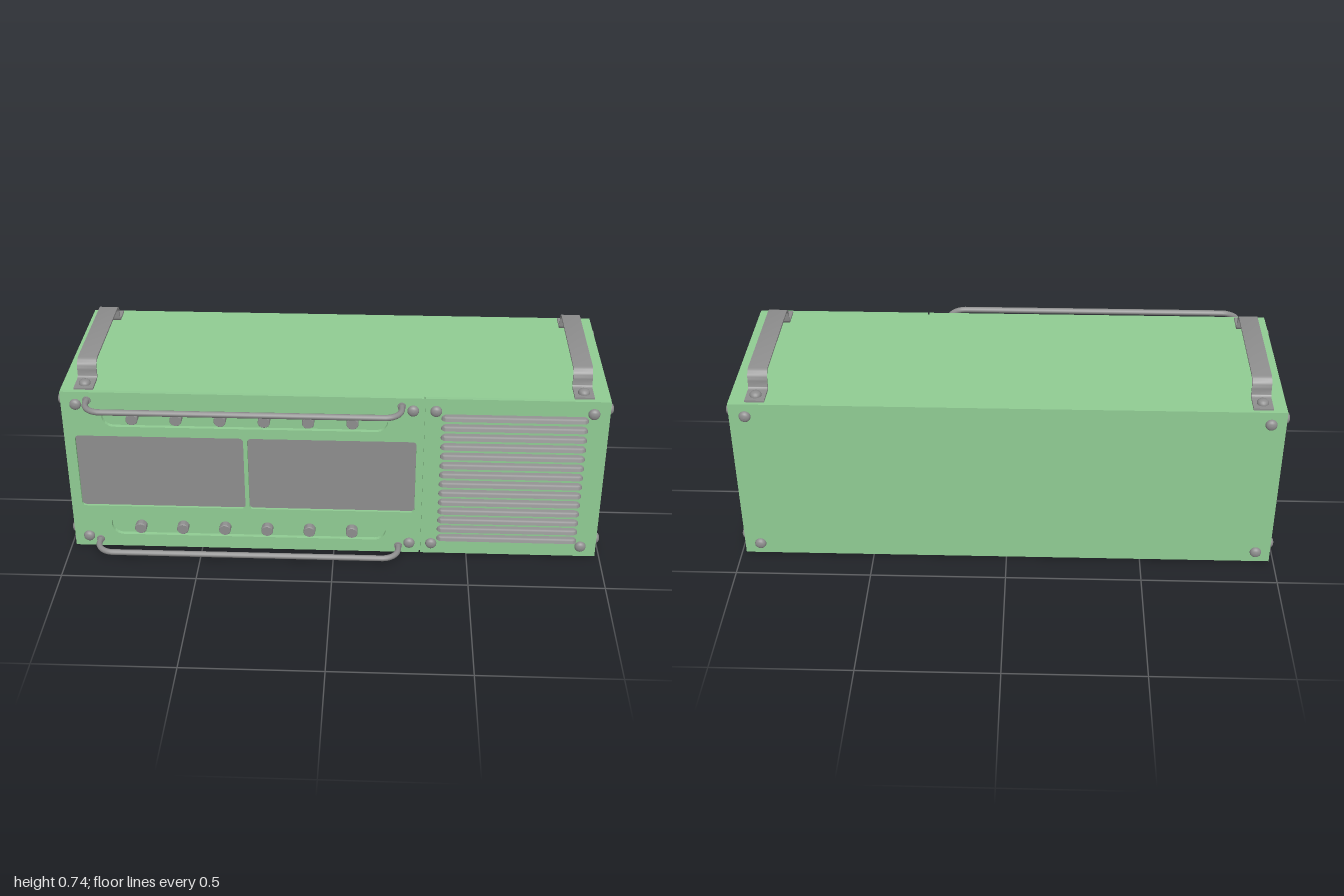
import * as THREE from 'three';
import { toCreasedNormals } from 'three/addons/utils/BufferGeometryUtils.js';

const green = new THREE.MeshStandardMaterial({ color: 0x90cc93 });
const grey = new THREE.MeshStandardMaterial({ color: 0x8e8e8e });

const FRONT = 0.3, BACK = -0.377, SIDE = 0.984, TOP = 0.666, PANEL = 0.015;

function add(parent, name, geometry, material, x = 0, y = 0, z = 0) {
  const mesh = new THREE.Mesh(geometry, material);
  mesh.name = name;
  mesh.position.set(x, y, z);
  parent.add(mesh);
  return mesh;
}

// Rounded rectangle drawn on a Shape or Path
function roundRect(path, x0, y0, x1, y1, r) {
  path.absarc(x1 - r, y0 + r, r, -Math.PI / 2, 0);
  path.absarc(x1 - r, y1 - r, r, 0, Math.PI / 2);
  path.absarc(x0 + r, y1 - r, r, Math.PI / 2, Math.PI);
  path.absarc(x0 + r, y0 + r, r, Math.PI, Math.PI * 1.5);
  path.closePath();
  return path;
}

// Louvre hood: a quarter-round bar with rounded ends and a flat underside, facing +z
function louvreGeometry(length, r, depth) {
  const cols = 9;
  const g = new THREE.SphereGeometry(r, cols, 12, 0, Math.PI, 0.01, Math.PI - 0.02);
  const p = g.attributes.position;
  for (let i = 0; i < p.count; i++) {
    const end = i % (cols + 1) < (cols + 1) / 2 ? -1 : 1;
    p.setXYZ(i, p.getX(i) + end * (length / 2 - r), Math.max(0, p.getY(i)), p.getZ(i) * depth / r);
  }
  return toCreasedNormals(g, 0.7);
}

function louvreBank(name, length, depth) {
  const bank = new THREE.Group();
  bank.name = name;
  const g = louvreGeometry(length, 0.02, depth);
  for (let i = 0; i < 14; i++) add(bank, 'louvre', g, grey, 0, 0.067 + i * 0.0398, 0);
  return bank;
}

// Domed screw head, facing +y
const screwGeometry = new THREE.LatheGeometry(
  [[0.021, 0], [0.021, 0.004], [0.0195, 0.009], [0.016, 0.013], [0.009, 0.0162], [0, 0.017]]
    .map(([x, y]) => new THREE.Vector2(x, y)), 20);

// Knob, facing +z from the bottom of its tray
const knobGeometry = toCreasedNormals(new THREE.LatheGeometry(
  [[0.014, 0], [0.014, 0.012], [0.022, 0.012], [0.022, 0.037], [0.02, 0.04], [0, 0.04]]
    .map(([x, y]) => new THREE.Vector2(x, y)), 24).rotateX(Math.PI / 2), 0.6);

// Open polyline with rounded inner corners, as a curve path
function roundedPath(points, radius) {
  const path = new THREE.CurvePath();
  let from = points[0];
  for (let i = 1; i < points.length - 1; i++) {
    const c = points[i];
    const a = c.clone().add(points[i - 1].clone().sub(c).setLength(radius[i - 1]));
    const b = c.clone().add(points[i + 1].clone().sub(c).setLength(radius[i - 1]));
    path.add(new THREE.LineCurve3(from, a));
    const k = 0.45; // handles chosen to approximate a circular arc
    path.add(new THREE.CubicBezierCurve3(a, a.clone().lerp(c, 1 - k), b.clone().lerp(c, 1 - k), b));
    from = b;
  }
  path.add(new THREE.LineCurve3(from, points[points.length - 1]));
  return path;
}

// Points along the path: only the ends of lines, several along bends
function pathPoints(path) {
  const out = [];
  path.curves.forEach((c) => {
    const pts = c.getPoints(c.isLineCurve3 ? 1 : 8);
    out.push(...(out.length ? pts.slice(1) : pts));
  });
  return out;
}

function topHandle(x) {
  const group = new THREE.Group();
  group.name = 'topHandle';
  const t = 0.0035, w = 0.07;
  const line = [[0.283, 0.67], [0.197, 0.67], [0.197, 0.738], [-0.277, 0.738], [-0.277, 0.67], [-0.363, 0.67]]
    .map(([z, y]) => new THREE.Vector3(z, y, 0));
  const pts = pathPoints(roundedPath(line, [0.015, 0.035, 0.035, 0.015]));
  // Offset the centre line to both sides for a strap of constant thickness
  const offset = (s) => pts.map((p, i) => {
    const d = pts[Math.min(i + 1, pts.length - 1)].clone().sub(pts[Math.max(i - 1, 0)]).normalize();
    return new THREE.Vector2(p.x - d.y * s, p.y + d.x * s);
  });
  const shape = new THREE.Shape([...offset(t), ...offset(-t).reverse()]);
  const g = new THREE.ExtrudeGeometry(shape, { depth: w, bevelEnabled: false });
  const strap = add(group, 'strap', toCreasedNormals(g, 0.5), grey, x - w / 2, 0, 0);
  strap.rotation.y = -Math.PI / 2;
  strap.position.x = x + w / 2;
  for (const z of [0.25, -0.328]) add(group, 'handleScrew', screwGeometry, grey, x, 0.674, z);
  return group;
}

function frontHandle(y) {
  const group = new THREE.Group();
  group.name = 'frontHandle';
  const x0 = -0.888, x1 = 0.243, z = 0.387;
  const line = [[x0, FRONT - 0.01], [x0, z], [x1, z], [x1, FRONT - 0.01]]
    .map(([px, pz]) => new THREE.Vector3(px, y, pz));
  add(group, 'bar', new THREE.TubeGeometry(roundedPath(line, [0.06, 0.06]), 90, 0.011, 12), grey);
  for (const x of [x0, x1]) {
    add(group, 'collar', new THREE.CylinderGeometry(0.015, 0.015, 0.006, 16).rotateX(Math.PI / 2),
      grey, x, y, FRONT + 0.003);
  }
  return group;
}

export function createModel() {
  const model = new THREE.Group();
  model.name = 'equipmentCase';

  // Case body behind the front panels
  const depth = FRONT - PANEL - BACK;
  add(model, 'caseBody', new THREE.BoxGeometry(SIDE * 2, TOP, depth), green, 0, TOP / 2, BACK + depth / 2);

  // Front panels with a narrow seam between them
  const screens = [[-0.945, 0.18, -0.33, 0.485], [-0.315, 0.18, 0.3, 0.485]];
  const trays = [0.0965, 0.568];
  const control = roundRect(new THREE.Shape(), -SIDE, 0, 0.322, TOP, 0.002);
  screens.forEach((s) => control.holes.push(roundRect(new THREE.Path(), ...s, 0.014)));
  trays.forEach((y) => control.holes.push(roundRect(new THREE.Path(), -0.84, y - 0.043, 0.195, y + 0.043, 0.0425)));
  const vent = roundRect(new THREE.Shape(), 0.327, 0, SIDE, TOP, 0.002);
  for (const [name, shape] of [['controlPanel', control], ['ventPanel', vent]]) {
    const g = new THREE.ExtrudeGeometry(shape, { depth: PANEL, bevelEnabled: false, curveSegments: 12 });
    add(model, name, toCreasedNormals(g, 0.5), green, 0, 0, FRONT - PANEL);
  }

  // Recessed display screens
  for (const [x0, y0, x1, y1] of screens) {
    add(model, 'screen', new THREE.BoxGeometry(x1 - x0, y1 - y0, 0.01), grey,
      (x0 + x1) / 2, (y0 + y1) / 2, FRONT - PANEL);
  }

  // Rows of knobs in the two trays
  for (const y of trays) {
    for (let i = 0; i < 6; i++) add(model, 'knob', knobGeometry, grey, -0.727 + i * 0.159, y, FRONT - PANEL);
  }

  // Louvres on the front right and on both ends
  const frontBank = louvreBank('frontLouvres', 0.525, 0.02);
  frontBank.position.set(0.648, 0, FRONT);
  model.add(frontBank);
  for (const s of [-1, 1]) {
    const bank = louvreBank(s > 0 ? 'leftLouvres' : 'rightLouvres', 0.513, 0.014);
    bank.position.set(s * SIDE, 0, -0.037);
    bank.rotation.y = s * Math.PI / 2;
    model.add(bank);
  }

  // Corner screws on the front, back and ends
  for (const y of [0.045, 0.617]) {
    for (const x of [-0.93, 0.284, 0.366, 0.926]) {
      add(model, 'frontScrew', screwGeometry, grey, x, y, FRONT).rotation.x = Math.PI / 2;
    }
    for (const x of [-0.93, 0.926]) {
      add(model, 'backScrew', screwGeometry, grey, x, y, BACK).rotation.x = -Math.PI / 2;
    }
  }
  for (const s of [-1, 1]) {
    for (const y of [0.057, 0.617]) {
      for (const z of [0.258, -0.332]) {
        add(model, 'endScrew', screwGeometry, grey, s * SIDE, y, z).rotation.z = -s * Math.PI / 2;
      }
    }
  }

  // Handles
  for (const x of [-0.9, 0.89]) model.add(topHandle(x));
  for (const y of [0.03, 0.634]) model.add(frontHandle(y));
  return model;
}
